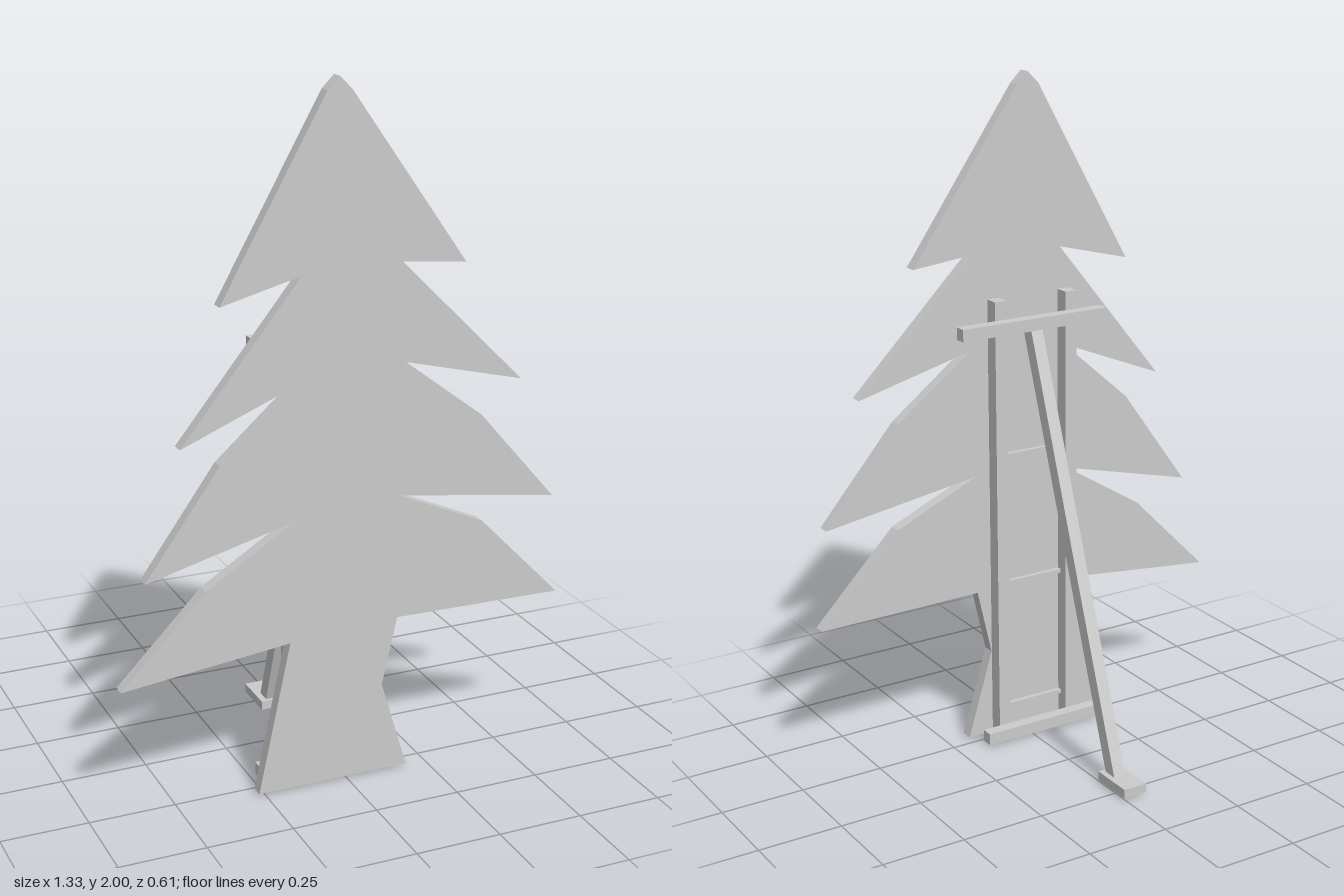
import * as THREE from 'three';

export function createModel() {
  const model = new THREE.Group();
  const material = new THREE.MeshStandardMaterial({ color: 0xcccccc, flatShading: true });

  function add(name, geometry) {
    const mesh = new THREE.Mesh(geometry, material);
    mesh.name = name;
    model.add(mesh);
    return mesh;
  }
  // Box given by its lower and upper limits on each axis
  function box(name, [x0, x1], [y0, y1], [z0, z1]) {
    const mesh = add(name, new THREE.BoxGeometry(x1 - x0, y1 - y0, z1 - z0));
    mesh.position.set((x0 + x1) / 2, (y0 + y1) / 2, (z0 + z1) / 2);
    return mesh;
  }

  // Flat tree cut-out, outlined from the tip down one side and up the other
  const outline = [
    [-0.035, 2], [-0.07, 1.965], [-0.37, 1.43], [-0.14, 1.49], [-0.485, 1.06],
    [-0.155, 1.195], [-0.375, 1.0], [-0.59, 0.7], [-0.165, 0.81], [-0.42, 0.65],
    [-0.665, 0.4], [-0.175, 0.455], [-0.27, 0.01], [0.185, 0.01], [0.105, 0.275],
    [0.15, 0.475], [0.66, 0.468], [0.41, 0.725], [0.15, 0.84], [0.635, 0.767],
    [0.4, 1.04], [0.165, 1.22], [0.52, 1.13], [0.15, 1.5], [0.34, 1.48], [0, 1.965],
  ].map(([x, y]) => new THREE.Vector2(x, y));
  const board = add('treeBoard', new THREE.ExtrudeGeometry(new THREE.Shape(outline),
    { depth: 0.037, bevelEnabled: false }));
  board.position.z = 0.268;

  // Two uprights joined by thin rungs
  box('rightUpright', [-0.17, -0.132], [0.01, 1.365], [0.225, 0.268]);
  box('leftUpright', [0.066, 0.104], [0.01, 1.365], [0.225, 0.268]);
  for (let i = 0; i < 4; i++) {
    const y = 0.09 + i * 0.4;
    box('rung', [-0.132, 0.066], [y - 0.006, y + 0.006], [0.253, 0.268]);
  }

  // Cross bars behind the uprights
  box('topCrossBar', [-0.25, 0.23], [1.275, 1.311], [0.187, 0.223]);
  box('bottomCrossBar', [-0.235, 0.16], [0.01, 0.046], [0.189, 0.225]);

  // Slanted prop, its lower end passing through the foot
  const top = new THREE.Vector3(-0.03, 1.283, 0.245);
  const bottom = new THREE.Vector3(-0.03, 0.008, -0.215);
  const prop = add('prop', new THREE.BoxGeometry(0.038, top.distanceTo(bottom), 0.042));
  prop.position.copy(top).add(bottom).multiplyScalar(0.5);
  prop.rotation.x = Math.atan2(top.z - bottom.z, top.y - bottom.y);
  box('foot', [-0.068, 0.006], [0.01, 0.037], [-0.305, -0.17]);

  return model;
}
